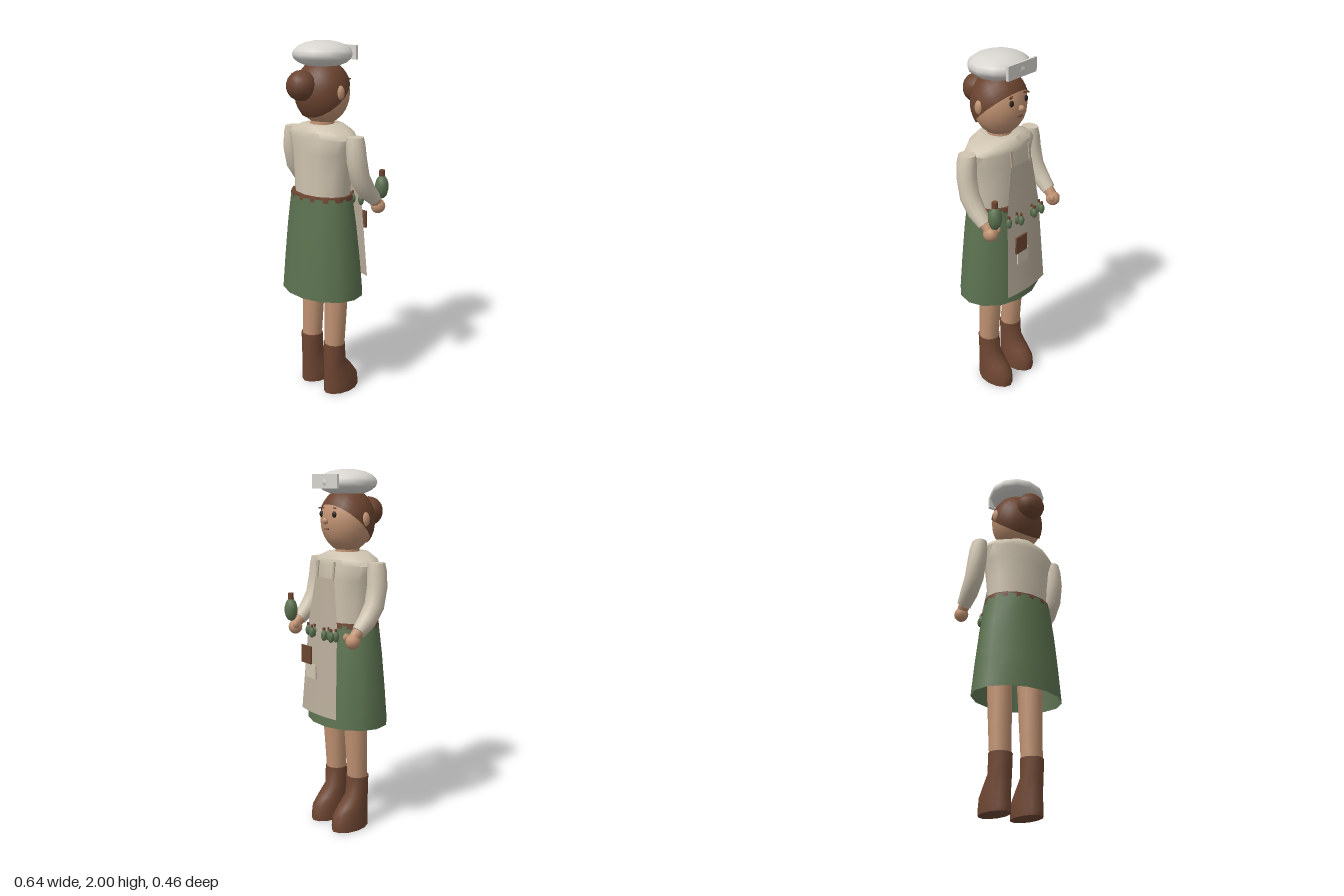
import * as THREE from 'three';
import { toCreasedNormals } from 'three/addons/utils/BufferGeometryUtils.js';

const paint = (color, side = THREE.FrontSide) => new THREE.MeshStandardMaterial({ color, side });
const skin = paint(0xc09272), hairBrown = paint(0x6a432f), leather = paint(0x6e4632);
const green = paint(0x5c7250), greenCloth = paint(0x5c7250, THREE.DoubleSide);
const linen = paint(0xcfc4b0), apronCloth = paint(0xb8ac9a, THREE.DoubleSide);
const white = paint(0xd8d5d0), dark = paint(0x2a1f1a);

// Skin elliptical rings, listed bottom to top: [x, y, z, radiusX, radiusZ, tilt about x]
function loft(rings, sides, capped = true) {
  const pos = [], idx = [];
  for (const [x, y, z, rx, rz, tilt = 0] of rings) {
    for (let i = 0; i < sides; i++) {
      const a = (i / sides) * Math.PI * 2, v = rz * Math.sin(a);
      pos.push(x + rx * Math.cos(a), y + v * Math.sin(tilt), z + v * Math.cos(tilt));
    }
  }
  for (let j = 0; j < rings.length - 1; j++) {
    for (let i = 0; i < sides; i++) {
      const a = j * sides + i, b = j * sides + (i + 1) % sides;
      idx.push(a, a + sides, b, b, a + sides, b + sides);
    }
  }
  if (capped) {
    const top = (rings.length - 1) * sides;
    for (let i = 1; i < sides - 1; i++) idx.push(0, i, i + 1, top, top + i + 1, top + i);
  }
  const g = new THREE.BufferGeometry();
  g.setAttribute('position', new THREE.Float32BufferAttribute(pos, 3));
  g.setIndex(idx);
  return toCreasedNormals(g, 0.9);
}

function add(parent, name, geometry, material, x = 0, y = 0, z = 0) {
  const mesh = new THREE.Mesh(geometry, material);
  mesh.name = name;
  mesh.position.set(x, y, z);
  parent.add(mesh);
  return mesh;
}

const ball = (rx, ry, rz, w = 14, h = 10) => new THREE.SphereGeometry(1, w, h).scale(rx, ry, rz);

// Egg-shaped flask with a cork, centred on its body
function flask(parent, name, r, h, x, y, z) {
  const g = new THREE.Group();
  g.name = name;
  g.position.set(x, y, z);
  add(g, 'flaskBody', ball(r, h, r, 9, 7), green);
  add(g, 'flaskCork', new THREE.CylinderGeometry(r * 0.42, r * 0.42, h * 0.55, 8), leather, 0, h * 1.15, 0);
  parent.add(g);
}

function buildHead(model) {
  const head = new THREE.Group();
  head.name = 'head';
  model.add(head);
  add(head, 'face', ball(0.15, 0.172, 0.14, 18, 12), skin, 0, 1.732, 0);
  add(head, 'neck', new THREE.CylinderGeometry(0.06, 0.07, 0.1, 10), skin, 0, 1.57, 0.005);
  // Hair cap: part of a sphere tipped towards the back
  const cap = new THREE.SphereGeometry(1, 20, 10, 0, Math.PI * 2, 0, 1.71).rotateX(0.65).scale(0.157, 0.178, 0.149);
  add(head, 'hair', cap, paint(0x6a432f, THREE.DoubleSide), 0, 1.73, 0.002);
  add(head, 'hairBun', ball(0.083, 0.08, 0.08, 12, 9), hairBrown, 0, 1.775, 0.15);
  add(head, 'nose', ball(0.018, 0.018, 0.018, 8, 6), skin, 0, 1.73, -0.143);
  add(head, 'mouth', new THREE.BoxGeometry(0.035, 0.006, 0.01), leather, 0, 1.688, -0.134);
  for (const s of [-1, 1]) {
    add(head, 'ear', ball(0.018, 0.038, 0.024, 8, 7), skin, s * 0.15, 1.74, 0.01);
    add(head, 'eye', ball(0.014, 0.017, 0.01, 8, 6), dark, s * 0.056, 1.765, -0.126);
    const brow = add(head, 'eyebrow', new THREE.BoxGeometry(0.04, 0.007, 0.01), hairBrown, s * 0.056, 1.797, -0.122);
    brow.rotation.y = s * 0.4;
  }
  add(head, 'cap', ball(0.168, 0.07, 0.16, 12, 10), white, 0, 1.93, 0.004);
  add(head, 'capPlate', new THREE.BoxGeometry(0.22, 0.074, 0.014), white, 0, 1.935, -0.142);
}

function buildArm(model, s) {
  const arm = new THREE.Group();
  arm.name = s > 0 ? 'leftArm' : 'rightArm';
  model.add(arm);
  const x = s * 0.265;
  add(arm, 'sleeve', loft([
    [x + s * 0.003, 1.172, -0.132, 0.04, 0.038, -0.85],
    [x + s * 0.004, 1.225, -0.075, 0.049, 0.05, -0.72],
    [x + s * 0.002, 1.3, -0.025, 0.053, 0.054, -0.4],
    [x - s * 0.002, 1.4, -0.003, 0.053, 0.056, -0.15],
    [x - s * 0.008, 1.48, 0, 0.049, 0.054, 0],
    [x - s * 0.013, 1.522, 0, 0.042, 0.048, 0],
  ], 12), linen);
  add(arm, 'wrist', loft([
    [x, 1.14, -0.162, 0.03, 0.03, -0.85],
    [x, 1.19, -0.115, 0.033, 0.033, -0.85],
  ], 10), skin);
  add(arm, 'hand', ball(0.04, 0.041, 0.041, 10, 8), skin, x, 1.127, -0.165);
  add(arm, 'thumb', ball(0.015, 0.022, 0.02, 8, 6), skin, x - s * 0.034, 1.145, -0.182);
}

function buildLeg(model, s) {
  const leg = new THREE.Group();
  leg.name = s > 0 ? 'leftLeg' : 'rightLeg';
  model.add(leg);
  const x = s * 0.098;
  add(leg, 'shin', loft([
    [x, 0.26, 0, 0.058, 0.057],
    [x, 0.45, -0.008, 0.062, 0.063],
    [x, 0.75, -0.018, 0.068, 0.076],
  ], 10), skin);
  add(leg, 'boot', loft([
    [x, 0, -0.054, 0.072, 0.117],
    [x, 0.025, -0.054, 0.073, 0.118],
    [x, 0.085, -0.051, 0.071, 0.113],
    [x, 0.135, -0.032, 0.066, 0.095],
    [x, 0.2, -0.004, 0.061, 0.066],
    [x, 0.305, 0, 0.064, 0.064],
  ], 12), leather);
}

function buildApron(model) {
  const apron = new THREE.Group();
  apron.name = 'apron';
  model.add(apron);
  // Panel narrows above the waist, leans out and curves round the skirt
  const panel = new THREE.PlaneGeometry(2, 1, 6, 12);
  const p = panel.attributes.position;
  for (let i = 0; i < p.count; i++) {
    const t = 0.5 - p.getY(i), u = p.getX(i);
    const half = t < 0.34 ? 0.085 + (t / 0.34) * 0.045 : 0.13 + ((t - 0.34) / 0.66) * 0.028;
    p.setXYZ(i, u * half, 1.43 - 0.75 * t, -0.15 - 0.064 * t + 0.017 * t * u * u);
  }
  panel.computeVertexNormals();
  add(apron, 'apronPanel', panel, apronCloth);
  for (const s of [-1, 1]) {
    const strap = add(apron, 'apronStrap', new THREE.BoxGeometry(0.014, 0.1, 0.006), apronCloth, s * 0.072, 1.47, -0.144);
    strap.rotation.x = 0.12;
  }
  add(apron, 'notebook', new THREE.BoxGeometry(0.088, 0.098, 0.01), leather, 0.078, 1.006, -0.219);
  add(apron, 'paper', new THREE.BoxGeometry(0.09, 0.08, 0.008), linen, 0.05, 0.915, -0.208);
  // Two staggered rows of small flasks at the waist
  for (const x of [-0.12, -0.057, 0.055]) flask(apron, 'waistFlask', 0.017, 0.03, x, 1.13, -0.198);
  for (const x of [-0.128, -0.063, 0.063, 0.125]) flask(apron, 'waistFlask', 0.017, 0.03, x, 1.13, -0.172);
}

export function createModel() {
  const model = new THREE.Group();
  model.name = 'shopkeeper';

  add(model, 'shirt', loft([
    [0, 1.16, 0.006, 0.178, 0.128],
    [0, 1.3, 0.004, 0.188, 0.133],
    [0, 1.42, 0.002, 0.203, 0.138],
    [0, 1.5, 0.002, 0.232, 0.138],
    [0, 1.532, 0.002, 0.205, 0.136],
    [0, 1.565, 0.005, 0.11, 0.112],
  ], 12), linen);
  add(model, 'belt', loft([
    [0, 1.163, 0.01, 0.197, 0.15],
    [0, 1.19, 0.01, 0.194, 0.147],
  ], 16), leather);
  add(model, 'skirt', loft([
    [0, 0.617, 0.003, 0.263, 0.2],
    [0, 0.8, 0.005, 0.246, 0.186],
    [0, 1.0, 0.008, 0.224, 0.168],
    [0, 1.18, 0.011, 0.195, 0.149],
  ], 14, false), greenCloth);

  buildHead(model);
  for (const s of [-1, 1]) {
    buildArm(model, s);
    buildLeg(model, s);
  }
  buildApron(model);
  flask(model, 'heldFlask', 0.038, 0.066, 0.263, 1.228, -0.194);
  return model;
}
